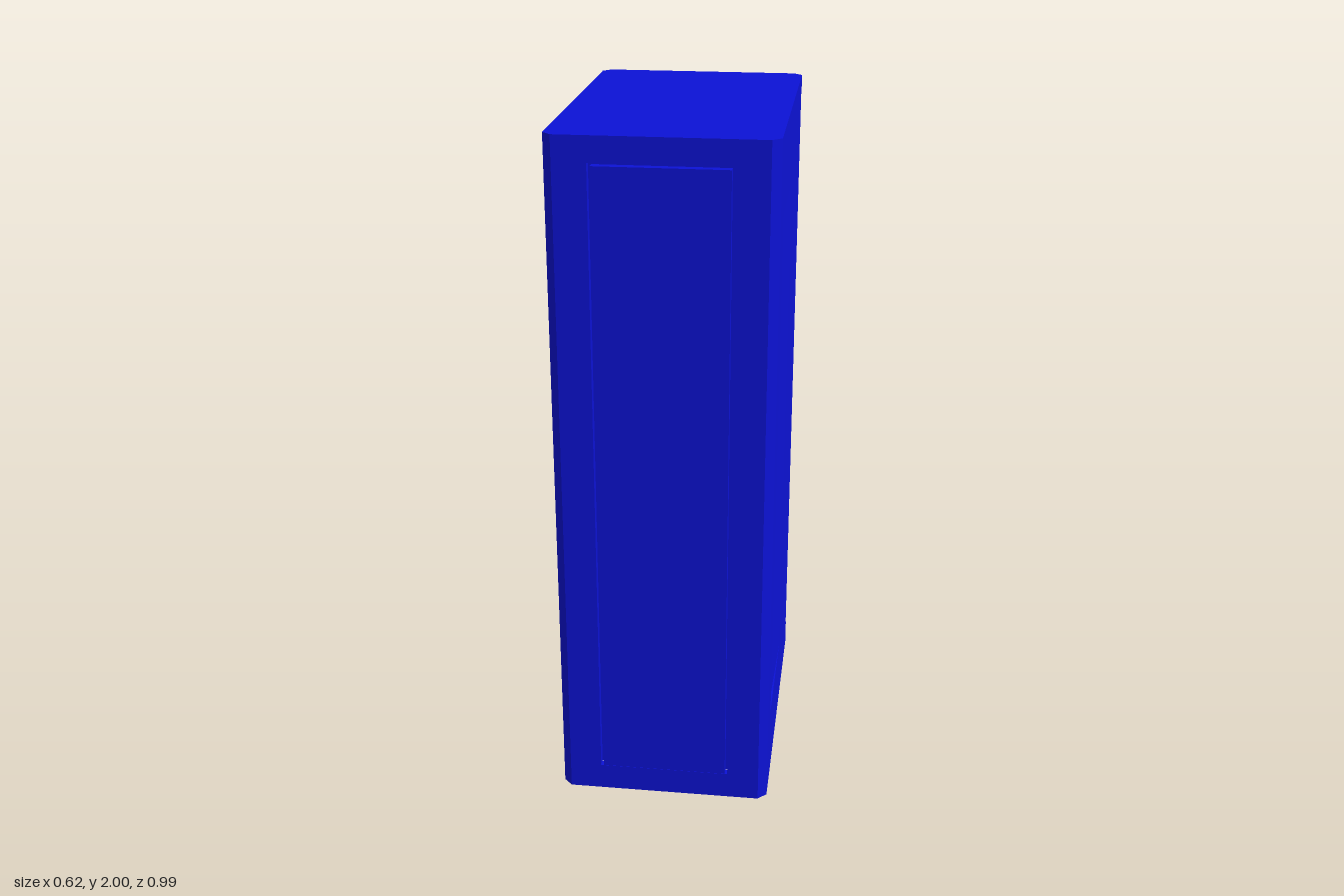
import * as THREE from 'three';

const W = 0.31, FRONT = 0.495, BACK = -0.465, CH = 0.025;

export function createModel() {
  const model = new THREE.Group();
  const material = new THREE.MeshStandardMaterial({ color: 0x0c12d6 });
  const add = (geometry, name, x = 0, y = 0, z = 0) => {
    const mesh = new THREE.Mesh(geometry, material);
    mesh.name = name;
    mesh.position.set(x, y, z);
    model.add(mesh);
    return mesh;
  };
  const polygon = (points) => new THREE.Shape(points.map(([x, y]) => new THREE.Vector2(x, y)));
  const rect = (x0, y0, x1, y1) => polygon([[x0, y0], [x1, y0], [x1, y1], [x0, y1]]);
  const extrude = (shape, depth) =>
    new THREE.ExtrudeGeometry(shape, { depth, bevelEnabled: false, curveSegments: 16 });
  // Plan outlines are drawn as (x, -z) and extruded upwards
  const upright = (shape, y0, y1) => extrude(shape, y1 - y0).rotateX(-Math.PI / 2).translate(0, y0, 0);

  // Chamfered plan outline, optionally pulled in from the edges
  const outline = (inset = 0, backInset = inset) => {
    const w = W - inset, f = -FRONT + inset, b = -BACK - backInset;
    return polygon([[-w + CH, f], [w - CH, f], [w, f + CH], [w, b - CH],
      [w - CH, b], [-w + CH, b], [-w, b - CH], [-w, f + CH]]);
  };

  // Core with a gently bowed back; its underside is the raised floor
  const core = new THREE.Shape();
  core.moveTo(-0.3, -0.47);
  core.lineTo(0.3, -0.47);
  core.lineTo(0.3, 0.425);
  core.quadraticCurveTo(0.298, 0.446, 0.28, 0.449);
  core.quadraticCurveTo(0, 0.459, -0.28, 0.449);
  core.quadraticCurveTo(-0.298, 0.446, -0.3, 0.425);
  add(upright(core, 0.08, 1.97), 'body');

  // Roof cap and open base rim, each with a stepped lip at the back
  add(upright(outline(), 1.962, 2), 'roofCap');
  add(upright(outline(0, 0.006), 1.945, 1.962), 'roofLip');
  const rim = (y0, y1, backInset, name) => {
    const shape = outline(0, backInset);
    shape.holes.push(rect(-0.288, -0.472, 0.288, 0.435));
    add(upright(shape, y0, y1), name);
  };
  rim(0, 0.038, 0, 'baseRim');
  rim(0.038, 0.08, 0.006, 'baseLip');

  // Front frame with chamfered vertical edges, and the inset front panel
  const frame = rect(-W, 0, W, 2);
  frame.holes.push(rect(-0.192, 0.07, 0.192, 1.928));
  const frameGeometry = extrude(frame, CH);
  const p = frameGeometry.attributes.position;
  for (let i = 0; i < p.count; i++) {
    if (p.getZ(i) > 0.01 && Math.abs(p.getX(i)) > 0.3) p.setX(i, Math.sign(p.getX(i)) * (W - CH));
  }
  frameGeometry.computeVertexNormals();
  add(frameGeometry, 'frontFrame', 0, 0, FRONT - CH);
  add(new THREE.BoxGeometry(0.368, 1.842, 0.024), 'frontPanel', 0, 0.999, 0.482);

  // Side walls with a shallow recess that fades out towards the back
  for (const side of [-1, 1]) {
    const name = side > 0 ? 'left' : 'right';
    const wall = rect(-0.47, 0, 0.42, 2);
    wall.holes.push(rect(-0.37, 0.23, 0.03, 1.775));
    const geometry = extrude(wall, 0.01).rotateY(Math.PI / 2);
    add(geometry, name + 'Wall', side > 0 ? 0.3 : -W);

    const wedge = polygon([[0.299, -0.37], [0.302, -0.37], [W, 0.03], [0.299, 0.03]]);
    const panel = add(upright(wedge, 0.23, 1.775), name + 'RecessPanel');
    if (side < 0) panel.geometry.rotateZ(Math.PI).translate(0, 2.005, 0);

    // Floor rails
    add(new THREE.BoxGeometry(0.03, 0.04, 0.907), name + 'FloorRail', side * 0.22, 0.06, 0.0185);

    // Back pull handle
    const path = new THREE.CurvePath();
    const v = (y, z) => new THREE.Vector3(0, y, z);
    path.add(new THREE.LineCurve3(v(0.857, -0.445), v(0.857, -0.48)));
    path.add(new THREE.QuadraticBezierCurve3(v(0.857, -0.48), v(0.857, -0.491), v(0.872, -0.491)));
    path.add(new THREE.LineCurve3(v(0.872, -0.491), v(1.143, -0.491)));
    path.add(new THREE.QuadraticBezierCurve3(v(1.143, -0.491), v(1.158, -0.491), v(1.158, -0.48)));
    path.add(new THREE.LineCurve3(v(1.158, -0.48), v(1.158, -0.445)));
    add(new THREE.TubeGeometry(path, 80, 0.006, 10), name + 'Handle', side * 0.244);
  }
  return model;
}
